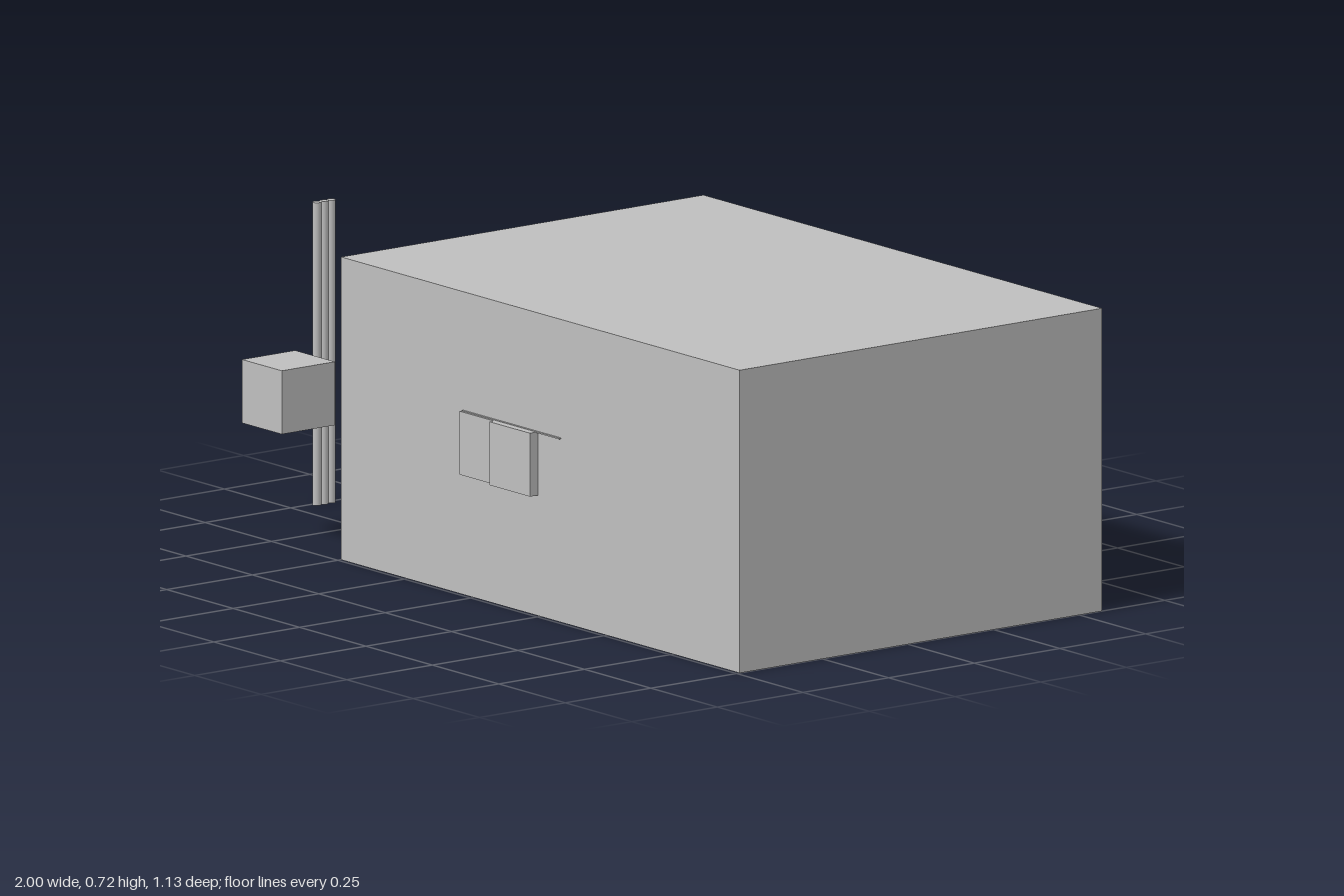
import * as THREE from 'three';

export function createModel() {
  const model = new THREE.Group();
  const grey = new THREE.MeshStandardMaterial({ color: 0xbfbfbf });
  grey.name = 'light grey';

  // Box from its lower and upper corners
  function block(name, [x0, y0, z0], [x1, y1, z1]) {
    const mesh = new THREE.Mesh(new THREE.BoxGeometry(x1 - x0, y1 - y0, z1 - z0), grey);
    mesh.position.set((x0 + x1) / 2, (y0 + y1) / 2, (z0 + z1) / 2);
    mesh.name = name;
    model.add(mesh);
  }

  // Large main body and the separate small cube
  block('mainBody', [-0.5, 0, -0.567], [1, 0.716, 0.491]);
  block('smallCube', [-0.775, 0.285, 0.412], [-0.625, 0.435, 0.567]);

  // Two stepped panels on the front, with a thin strip along their top edge
  block('lowPanel', [-0.04, 0.285, 0.491], [0.09, 0.435, 0.502]);
  block('raisedPanel', [0.09, 0.285, 0.491], [0.242, 0.435, 0.515]);
  block('topStrip', [-0.04, 0.433, 0.491], [0.327, 0.436, 0.496]);

  // Row of three slim upright rods
  const rods = new THREE.Group();
  rods.name = 'rods';
  const rodGeometry = new THREE.CylinderGeometry(0.0105, 0.0105, 0.716, 12);
  for (let i = 0; i < 3; i++) {
    const rod = new THREE.Mesh(rodGeometry, grey);
    rod.name = 'rod';
    rod.position.set(-0.9895, 0.358, 0.14 + i * 0.021);
    rods.add(rod);
  }
  model.add(rods);

  return model;
}
